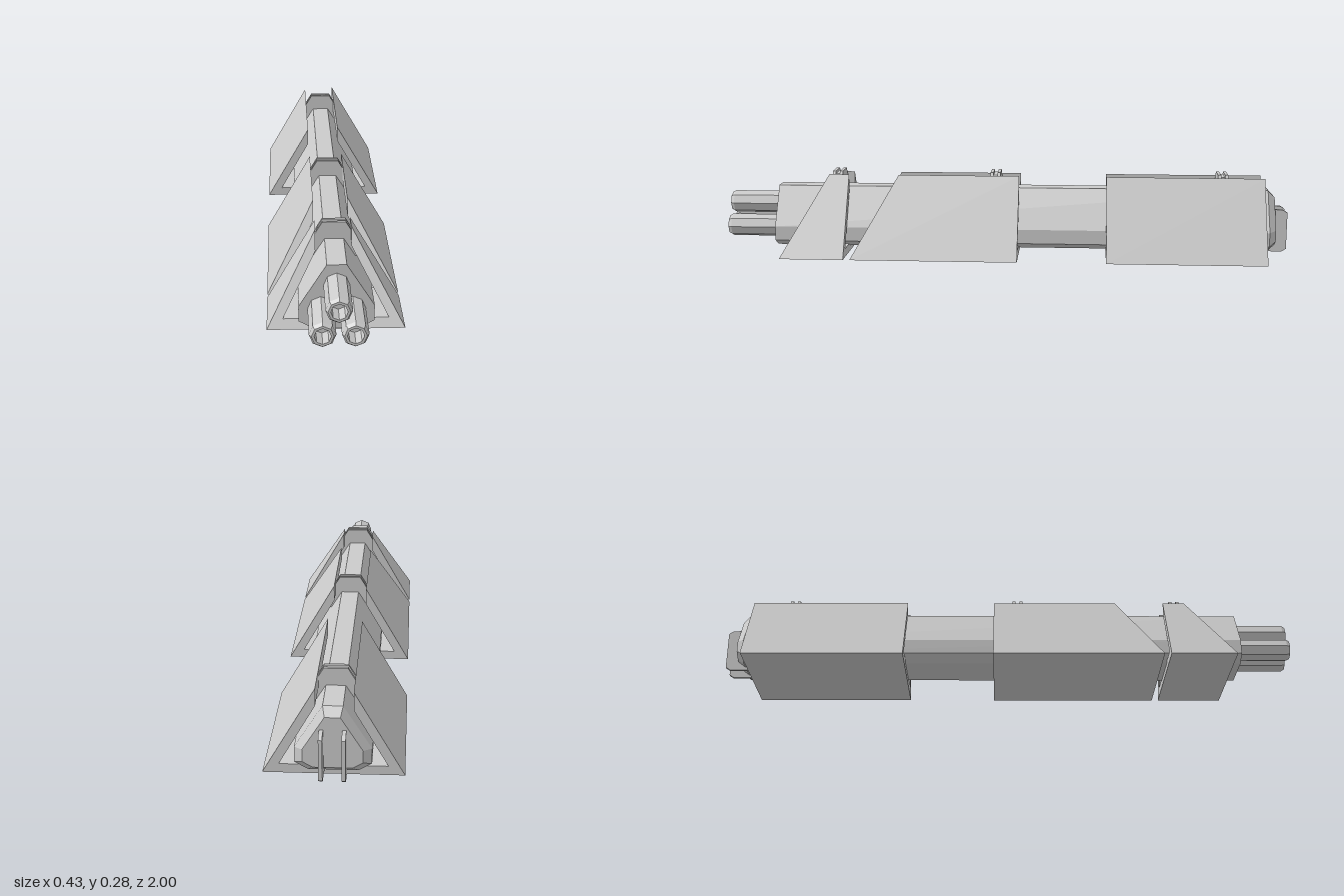
import * as THREE from 'three';

const material = new THREE.MeshStandardMaterial({ color: 0xcccccc, flatShading: true });

function addMesh(parent, name, geometry) {
  const mesh = new THREE.Mesh(geometry, material);
  mesh.name = name;
  parent.add(mesh);
  return mesh;
}

// Shape mirrored about x = 0 from its right half, listed bottom to top
function mirrored(half) {
  const left = half.slice().reverse().map(([x, y]) => [-x, y]);
  return new THREE.Shape([...half, ...left].map(([x, y]) => new THREE.Vector2(x, y)));
}

// Extrude along z from back to front
function prism(shape, back, front) {
  const g = new THREE.ExtrudeGeometry(shape, { depth: front - back, bevelEnabled: false });
  return g.translate(0, 0, back);
}

export function createModel() {
  const model = new THREE.Group();

  // Main body
  const bodyHalf = [[0.075, 0.022], [0.115, 0.045], [0.115, 0.095], [0.03, 0.23]];
  addMesh(model, 'body', prism(mirrored(bodyHalf), -0.93, 0.82));

  // Tapered rear cap: shrink the rear outline
  const cap = prism(mirrored(bodyHalf), -0.955, -0.93);
  const cp = cap.attributes.position;
  for (let i = 0; i < cp.count; i++) {
    if (cp.getZ(i) < -0.94) cp.setXY(i, cp.getX(i) * 0.78, 0.11 + (cp.getY(i) - 0.11) * 0.78);
  }
  cap.computeVertexNormals();
  addMesh(model, 'rearCap', cap);

  // Three octagonal barrels with chamfered muzzles and open bores
  const barrelProfile = [[0.04, 0.8], [0.04, 0.988], [0.033, 1], [0.025, 1], [0.025, 0.93], [0, 0.93]]
    .map(([r, z]) => new THREE.Vector2(r, z));
  const barrelGeometry = new THREE.LatheGeometry(barrelProfile, 8).rotateX(Math.PI / 2);
  for (const [x, y] of [[0, 0.163], [-0.048, 0.086], [0.048, 0.086]]) {
    addMesh(model, 'barrel', barrelGeometry).position.set(x, y, 0);
  }

  // Armour sleeves: triangular trough, open at the top, front optionally raked
  const armourShape = new THREE.Shape([
    [-0.213, 0], [0.213, 0], [0.053, 0.276], [0.053, 0.221], [0.163, 0.029],
    [-0.163, 0.029], [-0.06, 0.209], [-0.06, 0.267],
  ].map(([x, y]) => new THREE.Vector2(x, y)));
  const sleeves = [
    ['frontArmour', 0.56, 0.787, 0.565],
    ['middleArmour', -0.05, 0.537, 0.565],
    ['rearArmour', -0.915, -0.36, 0],
  ];
  for (const [name, back, front, rake] of sleeves) {
    const g = prism(armourShape, back, front);
    const p = g.attributes.position;
    for (let i = 0; i < p.count; i++) {
      if (p.getZ(i) > back + 0.01) p.setZ(i, front - rake * p.getY(i));
    }
    g.computeVertexNormals();
    addMesh(model, name, g);
  }

  // Collars: two flanges around a slightly smaller core
  const flange = mirrored([[0.075, 0.17], [0.075, 0.222], [0.037, 0.285]]);
  const core = mirrored([[0.07, 0.17], [0.07, 0.218], [0.034, 0.276]]);
  for (const z of [0.603, 0.035, -0.77]) {
    const collar = new THREE.Group();
    collar.name = 'collar';
    collar.position.z = z;
    addMesh(collar, 'collarCore', prism(core, -0.009, 0.009));
    addMesh(collar, 'collarFlangeFront', prism(flange, 0.007, 0.018));
    addMesh(collar, 'collarFlangeRear', prism(flange, -0.018, -0.007));
    model.add(collar);
  }

  // Two upright rear fins, drawn in (-z, y) and turned to face sideways
  const finShape = new THREE.Shape([
    [0.92, 0.012], [0.985, 0.012], [1, 0.022], [1, 0.152], [0.985, 0.162], [0.92, 0.166],
  ].map(([z, y]) => new THREE.Vector2(z, y)));
  const finGeometry = prism(finShape, -0.006, 0.006).rotateY(Math.PI / 2);
  for (const x of [-0.035, 0.033]) addMesh(model, 'rearFin', finGeometry).position.x = x;

  return model;
}
